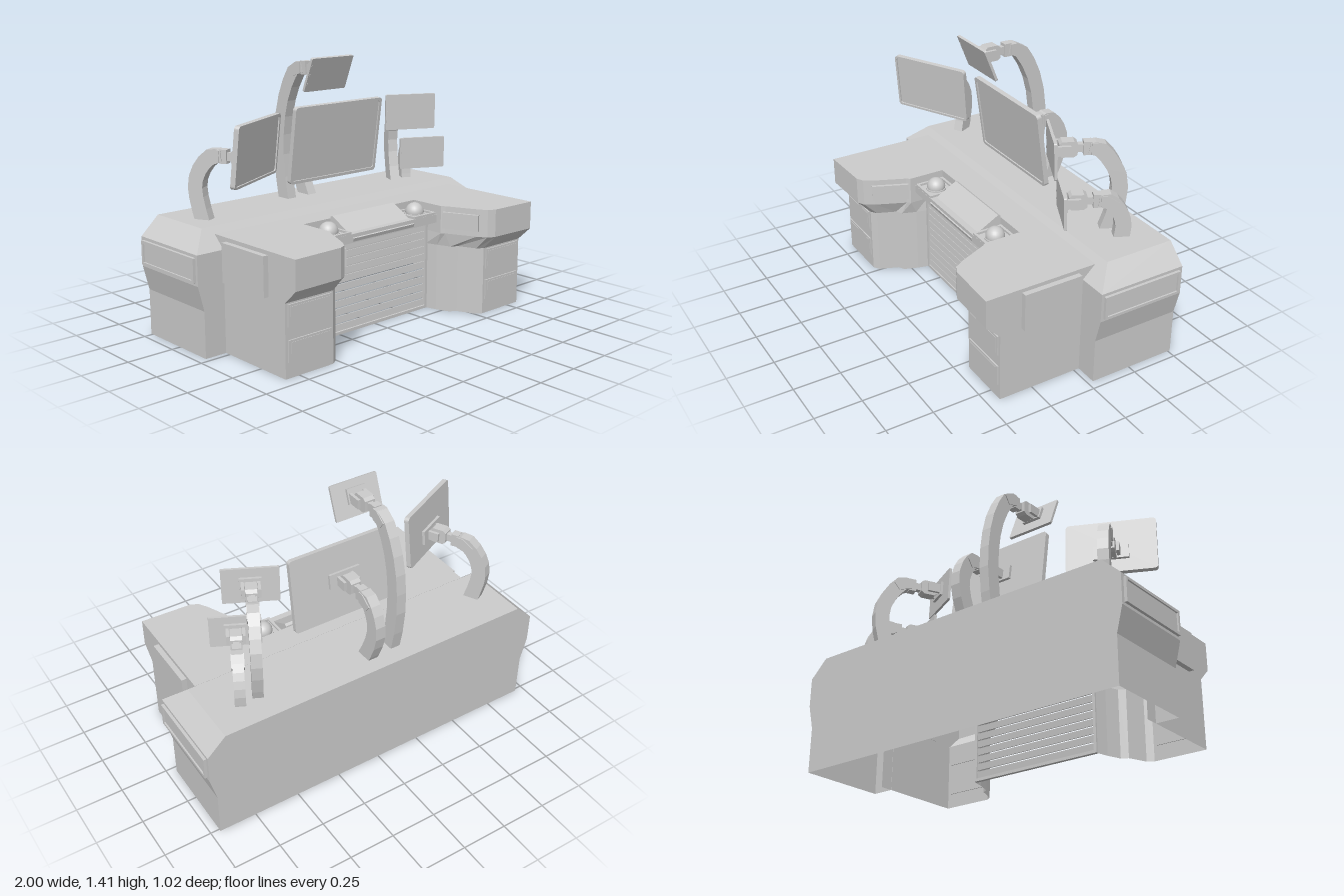
import * as THREE from 'three';

const mat = new THREE.MeshStandardMaterial({ color: 0xcccccc, flatShading: true });
const smooth = new THREE.MeshStandardMaterial({ color: 0xcccccc });
const open = new THREE.MeshStandardMaterial({ color: 0xcccccc, flatShading: true, side: THREE.DoubleSide });

function add(parent, name, geo, x = 0, y = 0, z = 0, material = mat) {
  const m = new THREE.Mesh(geo, material);
  m.name = name;
  m.position.set(x, y, z);
  parent.add(m);
  return m;
}
const box = (w, h, d) => new THREE.BoxGeometry(w, h, d);

// Walls through stacked rings [y, [[x, z], ...]] from bottom to top, with an optional lid
function shell(rings, { closed = false, lid = false } = {}) {
  const pos = [];
  const n = rings[0][1].length;
  const put = (r, j) => pos.push(r[1][j % n][0], r[0], r[1][j % n][1]);
  for (let i = 0; i < rings.length - 1; i++) {
    const a = rings[i], b = rings[i + 1];
    for (let j = 0; j < (closed ? n : n - 1); j++) {
      put(a, j); put(a, j + 1); put(b, j + 1);
      put(a, j); put(b, j + 1); put(b, j);
    }
  }
  if (lid) {
    const top = rings[rings.length - 1];
    const flat = top[1].map(([x, z]) => new THREE.Vector2(x, -z));
    THREE.ShapeUtils.triangulateShape(flat, []).forEach(t => t.forEach(j => put(top, j)));
  }
  const g = new THREE.BufferGeometry();
  g.setAttribute('position', new THREE.Float32BufferAttribute(pos, 3));
  g.computeVertexNormals();
  return g;
}

// Side outline in [distance behind, height], extruded across the width
function sidePlate(points, width) {
  const shape = new THREE.Shape(points.map(([d, y]) => new THREE.Vector2(d, y)));
  const g = new THREE.ExtrudeGeometry(shape, { depth: width, bevelEnabled: false });
  return g.translate(0, 0, -width / 2).rotateY(Math.PI / 2);
}

function roundRect(w, h, r, path = new THREE.Shape()) {
  const x = w / 2 - r, y = h / 2 - r, q = Math.PI / 2;
  path.absarc(x, y, r, 0, q).absarc(-x, y, r, q, 2 * q);
  path.absarc(-x, -y, r, 2 * q, 3 * q).absarc(x, -y, r, 3 * q, 4 * q);
  return path;
}

function frame(w, h, border, depth, r = 0.002) {
  const s = roundRect(w, h, r);
  s.holes.push(roundRect(w - 2 * border, h - 2 * border, r * 0.6, new THREE.Path()));
  return new THREE.ExtrudeGeometry(s, { depth, bevelEnabled: false, curveSegments: 4 });
}

// Screen with its joint and curved arm; path runs from the joint down to the counter
function monitorArm({ name, at: [x, y, z], yaw = 0, tilt, size: [w, h], bezel, joint: j, path }) {
  const g = new THREE.Group();
  g.name = name;
  g.position.set(x, 0, z);
  g.rotation.y = yaw;

  const screen = new THREE.Group();
  screen.name = 'screen';
  screen.position.y = y;
  screen.rotation.x = tilt;
  g.add(screen);
  const t = bezel ? 0.026 : 0.014, r = bezel ? 0.018 : 0.007;
  const panel = new THREE.ExtrudeGeometry(roundRect(w, h, r), {
    depth: bezel ? t - 0.007 : t, bevelEnabled: false, curveSegments: 4 });
  add(screen, 'screenPanel', panel, 0, 0, -t / 2);
  if (bezel) add(screen, 'bezel', frame(w, h, bezel, 0.007, r), 0, 0, t / 2 - 0.007);
  else for (const k of [-1, 0, 1]) add(screen, 'button', box(0.004, 0.012, 0.004), -w / 2 + 0.008, k * 0.05, t / 2);
  add(screen, 'mountPlate', box(bezel ? 0.18 : 0.11, 0.08, 0.016), 0, j - y, -t / 2 - 0.007);

  // octagonal swivel block between two fork cheeks
  const oct = [[0.032, -0.028], [0.045, -0.041], [0.105, -0.041], [0.122, -0.028],
    [0.122, 0.028], [0.105, 0.041], [0.045, 0.041], [0.032, 0.028]];
  add(g, 'swivelBlock', sidePlate(oct, 0.058), 0, j);
  for (const s of [-1, 1]) add(g, 'forkCheek', box(0.016, 0.05, 0.075), s * 0.04, j, -0.05);
  add(g, 'neck', box(0.03, 0.04, 0.06), 0, j, -0.135);
  add(g, 'wrist', box(0.046, 0.07, 0.04), 0, j, -0.172);
  add(g, 'elbowCover', sidePlate([[0.19, j - 0.03], [0.25, j - 0.05], [0.28, j - 0.01],
    [0.22, j + 0.03], [0.19, j + 0.03]], 0.064));

  // curved arm of constant width
  const curve = new THREE.CatmullRomCurve3(path.map(([d, v]) => new THREE.Vector3(d, v, 0)));
  const outer = [], inner = [], N = 9;
  for (let i = 0; i <= N; i++) {
    const p = curve.getPoint(i / N), v = curve.getTangent(i / N);
    const k = 0.026 + 0.014 * Math.min(1, i / 2);
    outer.push([p.x - v.y * k, p.y + v.x * k]);
    inner.unshift([p.x + v.y * k, p.y - v.x * k]);
  }
  add(g, 'curvedArm', sidePlate([...outer, ...inner], 0.055));
  return g;
}

export function createModel() {
  const model = new THREE.Group();
  model.name = 'controlDesk';
  const flip = half => half.map(([x, z]) => [-x, z]).reverse();
  const mirror = half => [...half, ...flip(half)];

  // Rear counter: flared walls, open toward the desk, and a chamfered top
  const walls = x => [[0.83, -0.03], [x, -0.03], [x, -0.513], [-x, -0.513], [-x, -0.03], [-0.83, -0.03]];
  const rect = (x, front) => [[-x, -0.513], [-x, front], [x, front], [x, -0.513]];
  add(model, 'counterWalls', shell([[0, walls(0.952)], [0.24, walls(0.952)],
    [0.37, walls(0.985)], [0.525, walls(0.985)]]), 0, 0, 0, open);
  add(model, 'counterTop', shell([[0.525, rect(0.985, -0.03)], [0.62, rect(0.885, -0.13)]],
    { closed: true, lid: true }), 0, 0, 0, open);

  // Desk top with a recess at the knee space
  const slab = knee => [[-0.832, -0.1], [-0.832, 0.51], [-0.55, 0.5], [-0.51, 0.48],
    [-0.48, 0.43], [-0.41, 0.27], [-0.395, 0.25], [-0.395, knee]];
  add(model, 'deskTop', shell([[0.5, mirror(slab(0.22))], [0.54, mirror(slab(0.22))],
    [0.541, mirror(slab(0.05))], [0.59, mirror(slab(0.05))]], { lid: true }), 0, 0, 0, open);
  add(model, 'consoleSoffit', box(0.79, 0.012, 0.08), 0, 0.5, 0.179);

  // Pedestals with an overhanging upper edge
  const foot = [[-0.832, -0.1], [-0.832, 0.432], [-0.54, 0.432], [-0.507, 0.41],
    [-0.467, 0.31], [-0.432, 0.29], [-0.405, 0.215], [-0.39, 0.15]];
  for (const side of [half => half, flip]) {
    add(model, 'pedestal', shell([[0, side(foot)], [0.367, side(foot)],
      [0.44, side(slab(0.15))], [0.5, side(slab(0.15))]]), 0, 0, 0, open);
  }

  for (const s of [-1, 1]) {
    // Drawers and side panels
    for (const y of [0.133, 0.305]) {
      add(model, 'drawerFront', box(0.262, 0.108, 0.012), s * 0.686, y, 0.433);
      add(model, 'drawerFace', box(0.236, 0.086, 0.006), s * 0.686, y, 0.438);
    }
    add(model, 'deskSidePanel', box(0.03, 0.2, 0.32), s * 0.845, 0.47, 0.155);
    const vent = add(model, 'counterSideFrame', frame(0.45, 0.126, 0.014, 0.02), s * 0.98, 0.447, -0.27);
    vent.rotation.y = s * Math.PI / 2;
    add(model, 'counterSidePanel', box(0.02, 0.1, 0.42), s * 0.982, 0.447, -0.27);
    const inner = add(model, 'innerPanel', box(0.022, 0.09, 0.2), s * 0.44, 0.515, 0.352);
    inner.rotation.y = s * 0.41;

    // Trackballs sunk in framed trays
    const tray = add(model, 'trackballFrame', frame(0.165, 0.168, 0.014, 0.012), s * 0.306, 0.54, 0.135);
    tray.rotation.x = -Math.PI / 2;
    add(model, 'trackballRing', new THREE.CylinderGeometry(0.055, 0.055, 0.008, 24), s * 0.308, 0.544, 0.138, smooth);
    add(model, 'trackball', new THREE.SphereGeometry(0.05, 24, 16), s * 0.308, 0.555, 0.138, smooth);
  }

  // Sloping keyboard panel between the trackballs
  add(model, 'keyboardPanel', sidePlate([[-0.05, 0.53], [-0.22, 0.5], [-0.226, 0.518],
    [-0.065, 0.606], [-0.05, 0.598]], 0.435));

  // Louvred panel in the knee space
  const grille = new THREE.Group();
  grille.name = 'louvredPanel';
  model.add(grille);
  add(grille, 'louvreFrame', frame(0.78, 0.495, 0.016, 0.02), 0, 0.249, 0.14);
  for (let i = 0; i < 11; i++) {
    const slat = add(grille, 'louvre', box(0.75, 0.034, 0.008), 0, 0.037 + i * 0.0425, 0.15);
    slat.rotation.x = -0.12;
  }

  // Five screens on curved arms
  const screens = [
    { name: 'mainMonitor', at: [-0.003, 0.947, -0.147], tilt: 0.14, size: [0.602, 0.41], bezel: 0.016,
      joint: 0.965, path: [[0.18, 0.968], [0.225, 0.968], [0.275, 0.915], [0.305, 0.83], [0.285, 0.72], [0.225, 0.59]] },
    { name: 'leftMonitor', at: [-0.628, 0.985, -0.022], yaw: 0.46, tilt: 0.1, size: [0.46, 0.305], bezel: 0.012,
      joint: 0.945, path: [[0.18, 0.948], [0.23, 0.945], [0.29, 0.89], [0.325, 0.81], [0.32, 0.72], [0.285, 0.59]] },
    { name: 'topMonitor', at: [-0.152, 1.32, -0.035], tilt: 0.38, size: [0.275, 0.185],
      joint: 1.335, path: [[0.18, 1.337], [0.235, 1.325], [0.295, 1.245], [0.345, 1.12], [0.37, 0.97], [0.37, 0.8], [0.335, 0.59]] },
    { name: 'upperRightMonitor', at: [0.48, 1.056, -0.072], yaw: -0.46, tilt: 0.04, size: [0.285, 0.195],
      joint: 1.065, path: [[0.18, 1.068], [0.23, 1.06], [0.29, 0.99], [0.335, 0.89], [0.33, 0.76], [0.28, 0.59]] },
    { name: 'lowerRightMonitor', at: [0.577, 0.815, -0.072], yaw: -0.46, tilt: 0.04, size: [0.26, 0.175],
      joint: 0.822, path: [[0.18, 0.825], [0.23, 0.82], [0.28, 0.765], [0.305, 0.69], [0.295, 0.59]] },
  ];
  screens.forEach(s => model.add(monitorArm(s)));

  return model;
}
